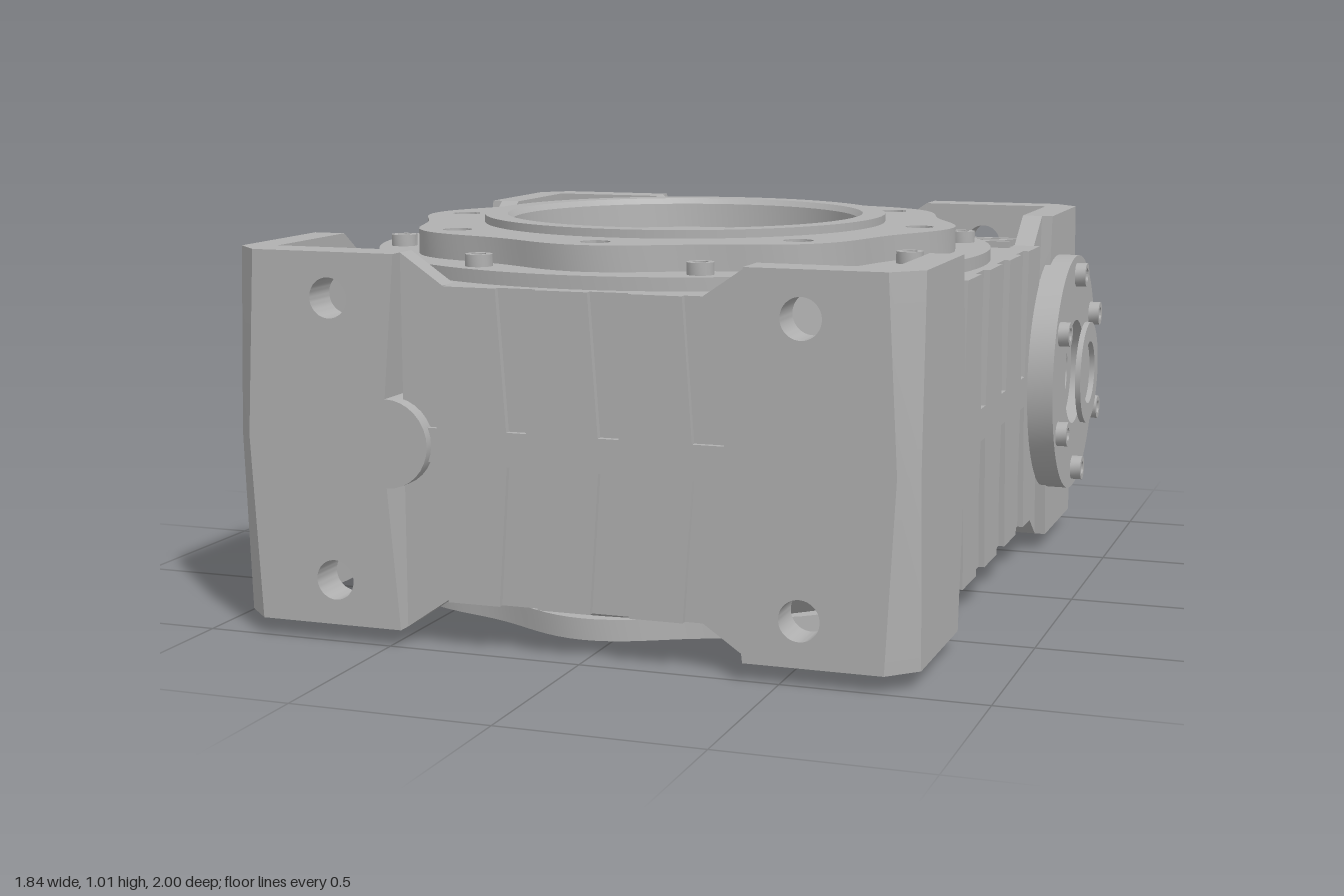
import * as THREE from 'three';
import { toCreasedNormals } from 'three/addons/utils/BufferGeometryUtils.js';

const metal = new THREE.MeshStandardMaterial({ color: 0xb0b0b0 });
metal.name = 'castGrey';

const MID = 0.51;          // height of the mid plane
const END = 0.4625;        // half height of the corner blocks
const WALL = 0.387;        // half height of the walls
const FLOOR = 0.25;        // half height of the pocket floors
const HX = 0.87, HZ = 1;   // half width and half depth
const IX = 0.785, IZ = 0.9; // inside faces of the corner walls
const CZ = 0.118;          // z of the output bore
const SHAFT_Z = -0.655;    // z of the input shaft

const mesh = (parent, name, geo) => {
  const m = new THREE.Mesh(toCreasedNormals(geo, 0.6), metal);
  m.name = name;
  parent.add(m);
  return m;
};
const poly = pts => new THREE.Shape(pts.map(p => new THREE.Vector2(p[0], p[1])));
const circle = (x, y, r) => new THREE.Path().absarc(x, y, r, 0, Math.PI * 2, false);
const extrude = (shape, depth, seg = 24, steps = 1) =>
  new THREE.ExtrudeGeometry(shape, { depth, steps, bevelEnabled: false, curveSegments: seg });
// plan outline (x, z) extruded between two heights
const plan = (shape, y0, y1, seg, steps) =>
  extrude(shape, y1 - y0, seg, steps).rotateX(Math.PI / 2).translate(0, y1, 0);
const lathe = (pts, seg = 64) =>
  new THREE.LatheGeometry(pts.map(p => new THREE.Vector2(p[0], p[1])), seg);

// One side of the housing, drawn facing +z with u to the right
function buildFace(body, name, o) {
  const g = new THREE.Group();
  g.name = name;
  g.rotation.y = o.turn;
  body.add(g);
  const t = o.front - o.inner;
  const pad = o.front - o.recess;

  // corner plates with drafted inner edges and mounting holes
  for (const s of [-1, 1]) {
    const edge = s < 0 ? o.left : o.right;
    const pts = [[s * o.outer, -END], [edge, -END]];
    if (s < 0 && o.bulge) {
      for (let i = 0; i <= 16; i++) {
        const a = -Math.PI / 2 + Math.PI * i / 16;
        pts.push([edge - 0.03 + 0.11 * Math.cos(a), 0.11 * Math.sin(a)]);
      }
    } else pts.push([edge - s * 0.045, -0.04], [edge - s * 0.045, 0.04]);
    pts.push([edge, END], [s * o.outer, END]);
    const shape = poly(pts);
    if (o.hole) for (const v of [-0.35, 0.35]) shape.holes.push(circle(s * o.hole, v, 0.05));
    mesh(g, 'cornerPlate', extrude(shape, t)).position.z = o.inner;
  }

  // wall that rises to meet the corner blocks
  const d = 0.11, a = o.left, b = o.right;
  const top = [[a, END], [a + d, WALL], [b - d, WALL], [b, END]];
  const flip = pts => pts.map(p => [p[0], -p[1]]).reverse();
  mesh(g, 'wall', extrude(poly([...top, ...flip(top)]), pad - 0.016 - o.inner)).position.z = o.inner;

  // raised pads separated by tapered grooves
  const last = o.grooves.length - 1, comb = [];
  o.grooves.forEach((u, i) => {
    if (i > 0) comb.push([u - 0.05, WALL], [u - 0.026, 0.042]);
    if (i < last) comb.push([u + 0.026, 0.042], [u + 0.05, WALL]);
  });
  mesh(g, 'groovedPads', extrude(poly([...comb, ...flip(comb)]), 0.016)).position.z = pad - 0.016;
  // narrow belt reaching the corner blocks
  mesh(g, 'wallBelt', new THREE.BoxGeometry(b - a, 0.084, 0.019)).position.z = pad - 0.0105;
}

// Socket-head screw standing on y = 0
const screwGeo = () => lathe([[0.034, 0], [0.034, 0.03], [0.019, 0.03], [0.019, 0.008], [0, 0.008]], 18);

function buildCore(body) {
  const middle = poly([[-IX, -IZ], [IX, -IZ], [IX, IZ], [-IX, IZ]]);
  middle.holes.push(circle(0, CZ, 0.5));
  mesh(body, 'core', plan(middle, -FLOOR, FLOOR, 48));

  // cross-shaped layers leave an open pocket in each corner
  const arc = [];
  for (let i = 0; i <= 8; i++) {
    const a = 0.547 + (1.016 - 0.547) * i / 8;
    arc.push([0.74 * Math.cos(a), CZ + 0.74 * Math.sin(a)]);
  }
  const right = [[0.39, -IZ], [0.39, -0.5], [IX, -0.5], [IX, 0.5], ...arc, [0.39, IZ]];
  const cross = poly([...right, ...right.map(p => [-p[0], p[1]]).reverse()]);
  cross.holes.push(circle(0, CZ, 0.5));
  mesh(body, 'upperCore', plan(cross, FLOOR, WALL, 48));
  mesh(body, 'lowerCore', plan(cross, -WALL, -FLOOR, 48));

  // vertical corners whose chamfer narrows toward the mid plane
  const cut = 0.07, waist = 0.045;
  for (const sx of [-1, 1]) for (const sz of [-1, 1]) {
    const c = [[IX, IZ], [HX, IZ], [HX, HZ - cut], [HX - cut, HZ], [IX, HZ]];
    const geo = plan(poly(c.map(p => [p[0] * sx, p[1] * sz])), -END, END, 1, 2);
    const p = geo.attributes.position;
    for (let i = 0; i < p.count; i++) {
      if (Math.abs(p.getY(i)) > 0.01) continue;
      if (Math.abs(Math.abs(p.getZ(i)) - HZ + cut) < 1e-4) p.setZ(i, sz * (HZ - waist));
      if (Math.abs(Math.abs(p.getX(i)) - HX + cut) < 1e-4) p.setX(i, sx * (HX - waist));
    }
    mesh(body, 'cornerPost', geo);
  }

  // cooling ribs on the decks
  for (const s of [-1, 1]) {
    const bar = (x0, x1, z, w) => mesh(body, 'coolingRib', new THREE.BoxGeometry(x1 - x0, 0.03, w))
      .position.set((x0 + x1) / 2, s * (WALL + 0.003), z);
    for (const z of [-0.88, -0.825, -0.77]) bar(-0.38, 0.15, z, 0.028);
    for (const side of [-1, 1]) [0.62, 0.66, 0.7].forEach((x, i) => {
      const e = [side * x, side * IX].sort((p, q) => p - q);
      bar(e[0], e[1], -0.47 + i * 0.045, 0.022);
    });
  }
}

function buildOutput(body) {
  const g = new THREE.Group();
  g.name = 'outputFlanges';
  g.position.set(0.005, 0, CZ);
  body.add(g);

  // round cover under the top flange, flared neck above the bottom one
  const disc = new THREE.Shape().absarc(0, 0, 0.815, 0, Math.PI * 2, false);
  disc.holes.push(circle(0, 0, 0.5));
  mesh(g, 'topCover', plan(disc, 0.35, 0.42, 48));
  mesh(g, 'bottomNeck', lathe([[0.5, -0.445], [0.69, -0.445], [0.8, -0.36], [0.8, -0.34], [0.5, -0.34], [0.5, -0.445]], 96));

  // scalloped flanges with eight holes
  const scallop = (mean, swing) => {
    const edge = [];
    for (let i = 0; i < 128; i++) {
      const a = i / 128 * Math.PI * 2, r = mean + swing * Math.cos(8 * a);
      edge.push([r * Math.cos(a), r * Math.sin(a)]);
    }
    const s = poly(edge);
    s.holes.push(circle(0, 0, 0.5));
    for (let i = 0; i < 8; i++) {
      const a = i * Math.PI / 4;
      s.holes.push(circle(0.645 * Math.cos(a), 0.645 * Math.sin(a), 0.037));
    }
    return s;
  };
  mesh(g, 'topFlange', plan(scallop(0.71, 0.025), 0.42, 0.484, 24));
  mesh(g, 'bottomFlange', plan(scallop(0.72, 0.025), -0.484, -0.43, 24));
  for (let i = 0; i < 8; i++) {
    const a = (i + 0.5) * Math.PI / 4;
    mesh(g, 'coverScrew', screwGeo()).position.set(0.75 * Math.cos(a), 0.42, 0.75 * Math.sin(a));
  }

  // pilot rims and recessed wheel, shallower on the underside
  mesh(g, 'pilotAndWheel', lathe([
    [0.22, -0.435], [0.335, -0.435], [0.36, -0.415], [0.455, -0.415], [0.462, -0.49], [0.475, -0.505], [0.535, -0.505],
    [0.535, 0.505], [0.475, 0.505], [0.462, 0.49], [0.455, 0.395], [0.36, 0.395], [0.335, 0.435], [0.22, 0.435]], 96));

  // hollow shaft with keyway
  const hub = new THREE.Shape().absarc(0, 0, 0.22, 0, Math.PI * 2, false);
  const k = 0.305, bore = new THREE.Path();
  bore.absarc(0, 0, 0.138, -Math.PI / 2 + k, Math.PI * 1.5 - k, false);
  bore.lineTo(-0.042, -0.165);
  bore.lineTo(0.042, -0.165);
  bore.closePath();
  hub.holes.push(bore);
  mesh(g, 'hollowShaft', plan(hub, -0.435, 0.435, 48));
}

function buildInput(body) {
  // bolted cover on the input side
  const g = new THREE.Group();
  g.name = 'inputCover';
  g.position.set(HX, 0.005, SHAFT_Z);
  g.rotation.z = -Math.PI / 2;
  body.add(g);
  mesh(g, 'inputBoss', new THREE.CylinderGeometry(0.3, 0.3, 0.07, 48)).position.y = -0.035;
  mesh(g, 'inputFlange', lathe([[0, -0.015], [0.338, -0.015], [0.338, 0.057], [0.15, 0.057],
    [0.15, 0.02], [0.09, 0.02], [0.09, 0.003], [0, 0.003]]));
  mesh(g, 'sealRing', lathe([[0.09, 0.085], [0.146, 0.085], [0.146, 0.1], [0.09, 0.1], [0.09, 0.085]], 48));
  for (let i = 0; i < 6; i++) {
    const a = i * Math.PI / 3;
    mesh(g, 'inputScrew', screwGeo()).position.set(0.283 * Math.cos(a), 0.057, 0.283 * Math.sin(a));
  }

  // closed bearing cap on the opposite side
  const cap = new THREE.Group();
  cap.name = 'bearingCap';
  cap.position.set(-HX, 0.005, SHAFT_Z);
  cap.rotation.z = Math.PI / 2;
  body.add(cap);
  mesh(cap, 'capBoss', new THREE.CylinderGeometry(0.3, 0.3, 0.07, 48)).position.y = -0.035;
  mesh(cap, 'capDisc', new THREE.CylinderGeometry(0.235, 0.235, 0.006, 48)).position.y = -0.001;

  // filler boss inside the rear pocket
  const plug = mesh(body, 'fillerBoss', new THREE.CylinderGeometry(0.055, 0.055, 0.11, 24).rotateZ(Math.PI / 2));
  plug.position.set(0.735, 0.25, SHAFT_Z);
}

export function createModel() {
  const root = new THREE.Group();
  root.name = 'wormGearbox';
  const body = new THREE.Group();
  body.name = 'housing';
  body.position.set(-0.05, MID, 0);
  root.add(body);

  const long = { front: HZ, inner: IZ, outer: IX, left: -0.42, right: 0.46, hole: 0.597, recess: 0.023,
    bulge: true, grooves: [-0.35, -0.115, 0.12, 0.355] };
  const side = { front: HX, inner: IX, outer: IZ, left: -0.56, right: 0.56, recess: 0.014,
    grooves: [-0.5, -0.25, 0, 0.25, 0.5] };
  buildFace(body, 'frontFace', { ...long, turn: 0 });
  buildFace(body, 'backFace', { ...long, turn: Math.PI });
  buildFace(body, 'inputFace', { ...side, turn: Math.PI / 2 });
  buildFace(body, 'capFace', { ...side, turn: -Math.PI / 2, hole: 0.76 });

  buildCore(body);
  buildOutput(body);
  buildInput(body);
  return root;
}
